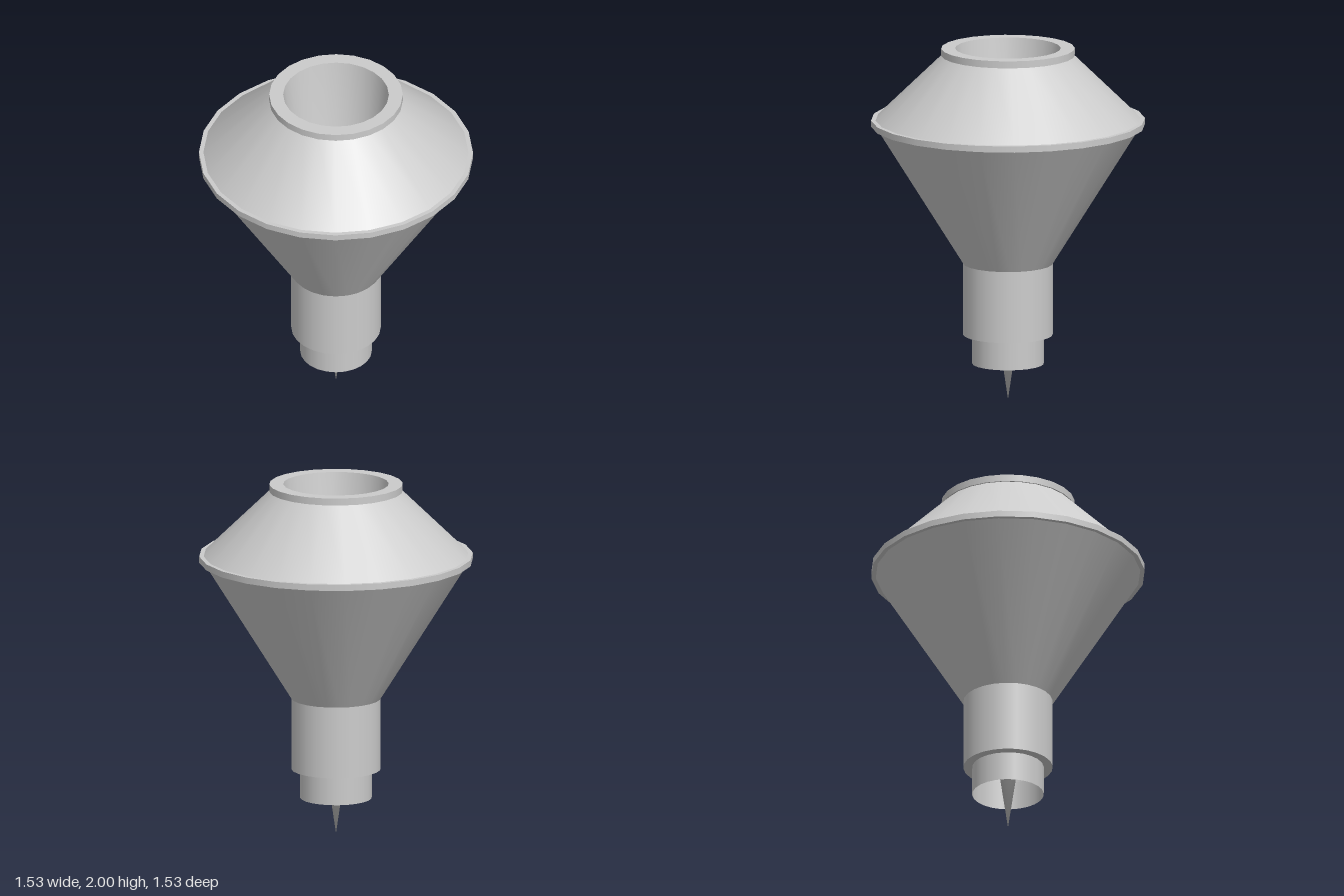
import * as THREE from 'three';

const SIDES = 24;

export function createModel() {
  const group = new THREE.Group();
  group.name = 'spinningTop';
  const material = new THREE.MeshStandardMaterial({ color: 0xcccccc, side: THREE.DoubleSide });

  // One lathed band between two [radius, height] points; separate bands keep the edges sharp
  const addBand = (name, from, to) => {
    const profile = [new THREE.Vector2(...from), new THREE.Vector2(...to)];
    const mesh = new THREE.Mesh(new THREE.LatheGeometry(profile, SIDES), material);
    mesh.name = name;
    group.add(mesh);
    return mesh;
  };

  // Outer shell, from the open lower end up to the mouth
  const shell = [
    ['lowerSleeve', 0.2, 0.205],
    ['sleeveShoulder', 0.2, 0.37],
    ['stem', 0.25, 0.37],
    ['lowerBody', 0.25, 0.775],
    ['flangeUnderside', 0.74, 1.56],
    ['flangeRim', 0.765, 1.56],
    ['flangeTop', 0.765, 1.595],
    ['upperBody', 0.74, 1.595],
    ['collarUnderside', 0.365, 1.96],
    ['collar', 0.373, 1.96],
    ['collarTop', 0.373, 2],
    ['mouth', 0.295, 2],
  ];
  for (let i = 0; i < shell.length - 1; i++) {
    const [name, r, y] = shell[i];
    addBand(name, [r, y], shell[i + 1].slice(1));
  }

  // Deep inner cone: hollow at the mouth, its point is the tip below the stem
  const cone = addBand('innerConeAndTip', [0.295, 2], [0, 0]);
  const { position, normal } = cone.geometry.attributes;
  for (let i = 0; i < position.count; i++) {
    if (position.getY(i) < 0.01) normal.setXYZ(i, 0, 1, 0); // rounded shading at the point
  }

  return group;
}
